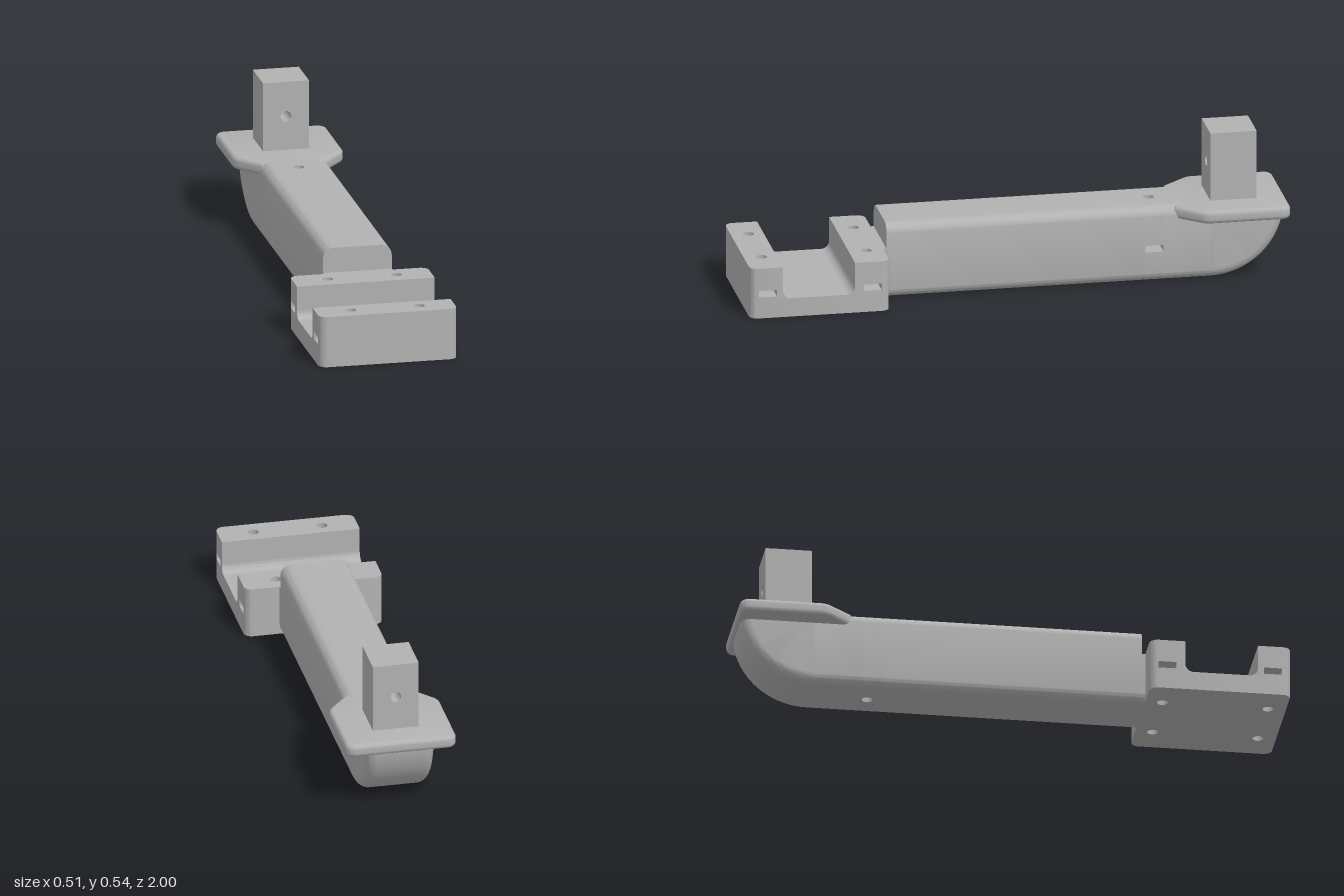
import * as THREE from 'three';
import { toCreasedNormals } from 'three/addons/utils/BufferGeometryUtils.js';

const HOLE = 0.02;             // bolt hole radius
const NUT = 0.033;             // half width of a nut slot
const SLOT = [0.08, 0.105];    // height range of the base nut slots
const ARM_SLOT = [0.115, 0.14];

export function createModel() {
  const model = new THREE.Group();
  model.name = 'bracket';
  const grey = new THREE.MeshStandardMaterial({ color: 0xb2b2b2 });
  grey.name = 'plain grey';

  const add = (name, geometry, parent = model) => {
    const mesh = new THREE.Mesh(toCreasedNormals(geometry, 0.6), grey);
    mesh.name = name;
    parent.add(mesh);
    return mesh;
  };
  const group = (name) => {
    const g = new THREE.Group();
    g.name = name;
    model.add(g);
    return g;
  };

  // Polygon with a radius for each corner
  const roundPoly = (points, radii = []) => {
    const shape = new THREE.Shape();
    const p = points.map(([x, y]) => new THREE.Vector2(x, y));
    p.forEach((c, i) => {
      const r = radii[i] || 0;
      const toward = (q, d) => c.clone().add(q.clone().sub(c).setLength(d));
      const prev = p[(i + p.length - 1) % p.length], next = p[(i + 1) % p.length];
      const a = r ? toward(prev, r) : c, b = r ? toward(next, r) : c;
      if (i) shape.lineTo(a.x, a.y); else shape.moveTo(a.x, a.y);
      if (r) {
        const u = toward(prev, r * 0.448), v = toward(next, r * 0.448);
        shape.bezierCurveTo(u.x, u.y, v.x, v.y, b.x, b.y);
      }
    });
    shape.closePath();
    return shape;
  };
  // Corner radii run: low left, low right, high right, high left
  const rect = (x0, y0, x1, y1, radii) =>
    roundPoly([[x0, y0], [x1, y0], [x1, y1], [x0, y1]], radii);
  const drill = (shape, ...centres) => {
    for (const [x, y] of centres) {
      shape.holes.push(new THREE.Path().absarc(x, y, HOLE, 0, Math.PI * 2, true));
    }
    return shape;
  };
  const extrude = (shape, depth, extra = {}) => new THREE.ExtrudeGeometry(shape,
    { depth, bevelEnabled: false, curveSegments: 10, ...extra });
  // Slab of a plan shape, drawn in (x, -z), between two heights
  const layer = (shape, y0, y1) =>
    extrude(shape, y1 - y0).rotateX(-Math.PI / 2).translate(0, y0, 0);
  // Cross-section in (x, y) run between two z positions
  const run = (shape, z0, z1) => extrude(shape, z1 - z0).translate(0, 0, z0);

  // Base: drilled floor, two walls with nut slots, and fillets
  const W = 0.255, R = 0.03, BX = 0.127, FLOOR = 0.07, TOP = 0.19;
  const base = group('base');
  const bolts = [0.935, 0.55];
  const boltPoints = (z) => [[-BX, -z], [BX, -z]];
  add('baseFloor', layer(drill(rect(-W, -1, W, -0.487, [R, R, R, R]),
    ...bolts.flatMap(boltPoints)), 0, FLOOR), base);

  const walls = [
    { name: 'frontWall', z0: 0.88, z1: 1, bolt: bolts[0], front: R, back: 0 },
    { name: 'rearWall', z0: 0.487, z1: 0.615, bolt: bolts[1], front: 0, back: R },
  ];
  for (const { name, z0, z1, bolt, front, back } of walls) {
    const radii = [front, front, back, back];
    for (const [y0, y1] of [[FLOOR, SLOT[0]], [SLOT[1], TOP]]) {
      add(name, layer(drill(rect(-W, -z1, W, -z0, radii), ...boltPoints(bolt)), y0, y1), base);
    }
    // Slot level: strips on either side and a core with hexagonal seats
    add(name, layer(rect(-W, -z1, W, -bolt - NUT, [front, front]), ...SLOT), base);
    add(name, layer(rect(-W, -bolt + NUT, W, -z0, [0, 0, back, back]), ...SLOT), base);
    const s = BX - 0.019, t = BX - 0.038;
    add(name, layer(roundPoly([[-s, -bolt - NUT], [s, -bolt - NUT], [t, -bolt],
      [s, -bolt + NUT], [-s, -bolt + NUT], [-t, -bolt]]), ...SLOT), base);
  }
  for (const [z, dir] of [[0.88, -1], [0.615, 1]]) {
    const fillet = new THREE.Shape();
    fillet.moveTo(z, FLOOR);
    fillet.lineTo(z, FLOOR + R);
    fillet.absarc(z + dir * R, FLOOR + R, R, dir < 0 ? 0 : Math.PI,
      dir < 0 ? -Math.PI / 2 : Math.PI * 1.5, dir < 0);
    fillet.closePath();
    add('wallFillet', extrude(fillet, 2 * W).rotateY(-Math.PI / 2).translate(W, 0, 0), base);
  }

  // Arm: rounded bar, interrupted by the drilled and slotted section
  const A = 0.127, H = 0.283, E = 0.04, HZ = -0.51, CX = 0.06;
  const arm = group('arm');
  const section = rect(-A, 0, A, H, [E, E, E, E]);
  add('armBar', run(section, HZ + NUT, 0.475), arm);
  add('armBar', run(section, -0.72, HZ - NUT), arm);
  add('armRoot', run(rect(-A, 0, A, TOP, [E, E]), 0.46, 0.52), arm);

  const z0 = HZ - NUT, z1 = HZ + NUT;
  add('armSide', run(rect(-A, 0, -CX, H, [E, 0, 0, E]), z0, z1), arm);
  add('armSide', run(rect(CX, 0, A, ARM_SLOT[0], [0, E]), z0, z1), arm);
  add('armSide', run(rect(CX, ARM_SLOT[1], A, H, [0, 0, E]), z0, z1), arm);
  for (const [y0, y1] of [[0, ARM_SLOT[0]], [ARM_SLOT[1], H]]) {
    add('armCore', layer(drill(rect(-CX, -z1, CX, -z0), [0, -HZ]), y0, y1), arm);
  }
  add('armCore', layer(roundPoly([[-CX, -z1], [-0.019, -z1], [-0.038, -HZ],
    [-0.019, -z0], [-CX, -z0]]), ...ARM_SLOT), arm);

  // Curved arm end: quarter turn about a crosswise axis
  const TR = 0.27;
  const profile = [new THREE.Vector2(0, -A)];
  for (const side of [-1, 1]) {
    for (let i = 0; i <= 8; i++) {
      const a = (side < 0 ? i : 8 - i) / 8 * Math.PI / 2;
      profile.push(new THREE.Vector2(TR - E + E * Math.sin(a),
        side * (A - E + E * Math.cos(a))));
    }
  }
  profile.push(new THREE.Vector2(0, A));
  add('armEnd', new THREE.LatheGeometry(profile, 24, Math.PI / 2, Math.PI / 2)
    .rotateZ(-Math.PI / 2).translate(0, TR, -0.72), arm);

  // Head plate with softened edges
  const B = 0.016, P0 = 0.234;
  const plate = roundPoly([[-0.12, 0.585], [0.12, 0.585], [0.205, 0.685],
    [0.205, 1], [-0.205, 1], [-0.205, 0.685]], [0, 0, 0.02, 0.035, 0.035, 0.02]);
  add('headPlate', extrude(plate, H - P0 - 2 * B, {
    bevelEnabled: true, bevelThickness: B, bevelSize: B, bevelOffset: -B, bevelSegments: 5,
  }).rotateX(-Math.PI / 2).translate(0, P0 + B, 0));

  // Upright post with a cross hole
  add('post', run(drill(rect(-0.085, 0.27, 0.085, 0.54), [0, 0.41]), -0.893, -0.723));

  return model;
}
